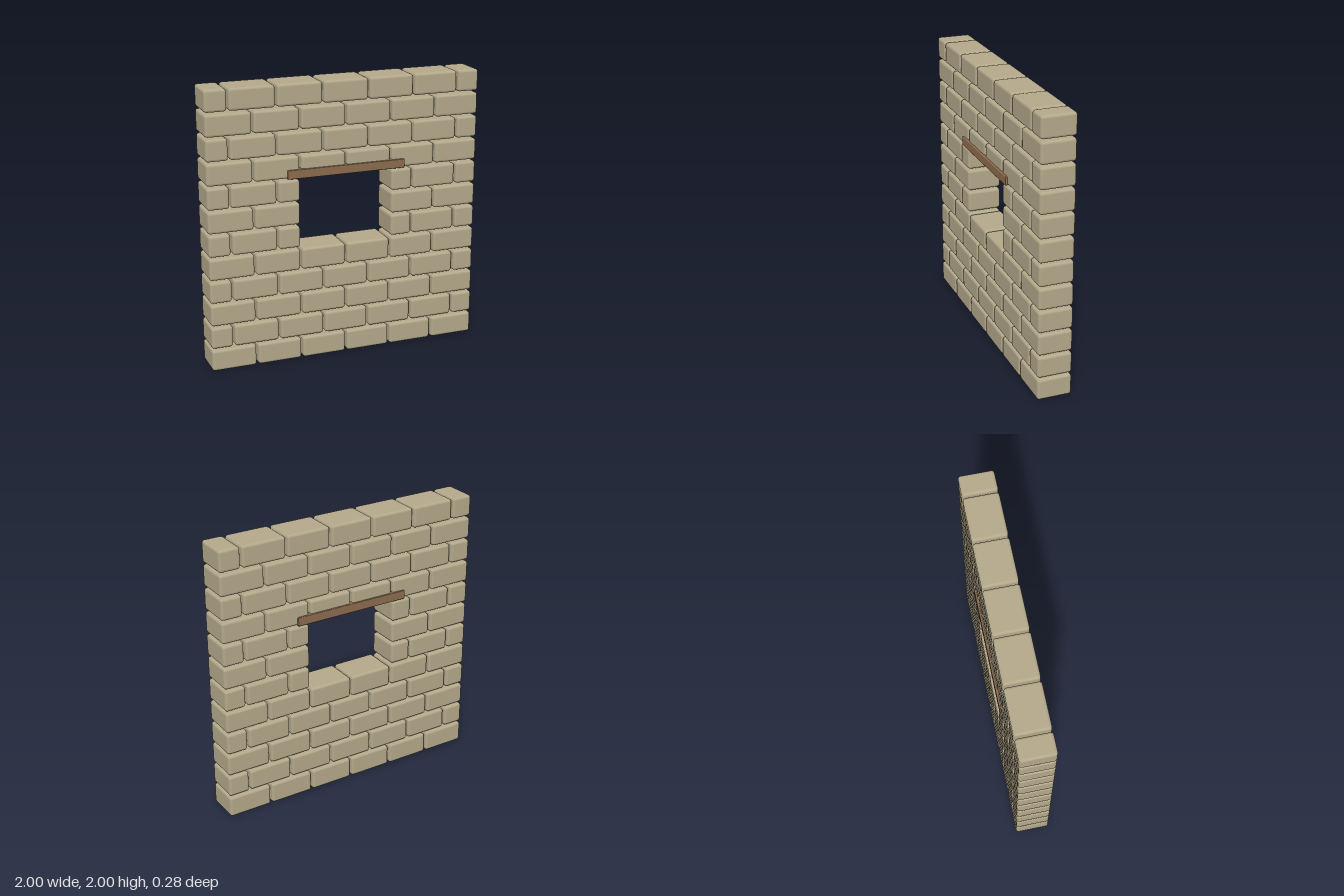
import * as THREE from 'three';
import { RoundedBoxGeometry } from 'three/addons/geometries/RoundedBoxGeometry.js';

export function createModel() {
  const wall = new THREE.Group();
  wall.name = 'brickWallWithWindow';

  const stone = new THREE.MeshStandardMaterial({ color: 0xb3a88a });
  stone.name = 'stone';
  const wood = new THREE.MeshStandardMaterial({ color: 0x8b6b4e });
  wood.name = 'wood';

  // Brick sizes and spacing
  const pitchX = 0.3355, pitchY = 0.16775;
  const fullW = 0.322, halfW = 0.1545, brickH = 0.1545, depth = 0.247;
  const rows = 12, radius = 0.02;
  const fullBrick = new RoundedBoxGeometry(fullW, brickH, depth, 2, radius);
  const halfBrick = new RoundedBoxGeometry(halfW, brickH, depth, 2, radius);

  // Brick centres on the +x side of one course, mirrored later
  const courseLayout = (row) => {
    const opening = row >= 5 && row <= 7;
    if (row % 2 === 0) {
      return { full: [0.5, 1.5, 2.5].slice(opening ? 1 : 0).map((i) => i * pitchX), half: [] };
    }
    const end = 1 - halfW / 2;
    return opening
      ? { full: [2 * pitchX], half: [end, 1.25 * pitchX] }
      : { full: [0, pitchX, 2 * pitchX], half: [end] };
  };

  for (let row = 0; row < rows; row++) {
    const course = new THREE.Group();
    course.name = `course${row + 1}`;
    course.position.y = brickH / 2 + row * pitchY;
    const layout = courseLayout(row);
    const place = (geometry, name, x) => {
      for (const side of x === 0 ? [1] : [-1, 1]) {
        const brick = new THREE.Mesh(geometry, stone);
        brick.name = name;
        brick.position.x = side * x;
        course.add(brick);
      }
    };
    layout.full.forEach((x) => place(fullBrick, 'fullBrick', x));
    layout.half.forEach((x) => place(halfBrick, 'halfBrick', x));
    wall.add(course);
  }

  // Wooden lintel above the window opening
  const lintel = new THREE.Mesh(new RoundedBoxGeometry(0.868, 0.064, 0.276, 1, 0.006), wood);
  lintel.name = 'lintel';
  lintel.position.y = 1.371;
  wall.add(lintel);

  return wall;
}
